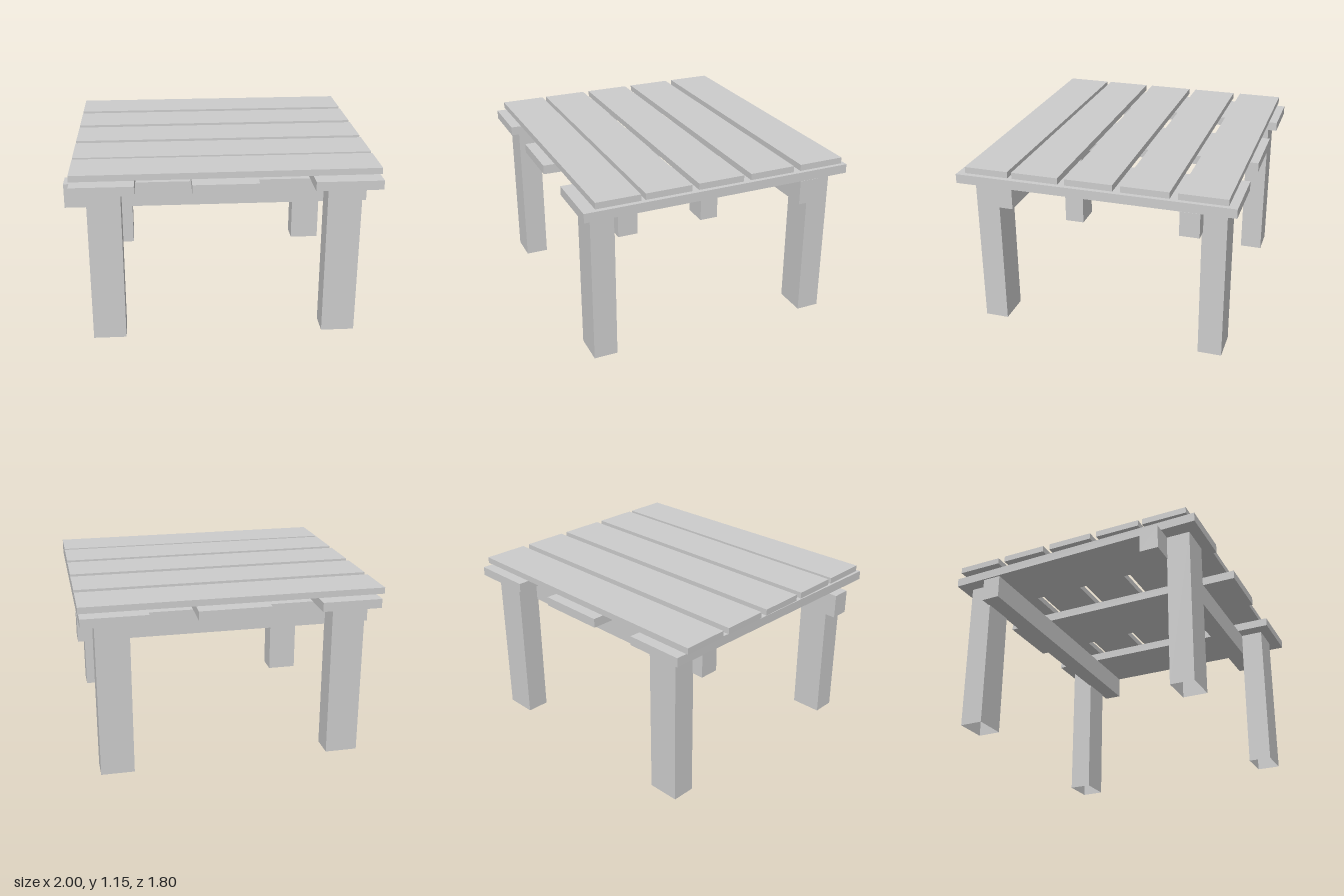
import * as THREE from 'three';

const material = new THREE.MeshStandardMaterial({ color: 0xcccccc, flatShading: true });
const openMaterial = new THREE.MeshStandardMaterial({ color: 0xcccccc, flatShading: true, side: THREE.DoubleSide });

// Plank with a four-cornered plan; corners are [x, z] at back left edge (-x,-z), (+x,-z), (-x,+z), (+x,+z)
function plank(name, y0, y1, corners) {
  const geometry = new THREE.BoxGeometry(2, y1 - y0, 2);
  geometry.translate(0, (y0 + y1) / 2, 0);
  const p = geometry.attributes.position;
  for (let i = 0; i < p.count; i++) {
    const [x, z] = corners[(p.getX(i) > 0 ? 1 : 0) + (p.getZ(i) > 0 ? 2 : 0)];
    p.setX(i, x);
    p.setZ(i, z);
  }
  geometry.computeVertexNormals();
  const mesh = new THREE.Mesh(geometry, material);
  mesh.name = name;
  return mesh;
}

const block = (name, x0, x1, y0, y1, z0, z1) =>
  plank(name, y0, y1, [[x0, z0], [x1, z0], [x0, z1], [x1, z1]]);

export function createModel() {
  const table = new THREE.Group();
  table.name = 'slattedTable';

  // Five top slats; the front one tapers slightly toward +x
  const slats = new THREE.Group();
  slats.name = 'topSlats';
  [[-0.85, -0.545], [-0.495, -0.19], [-0.14, 0.167], [0.213, 0.515], [0.543, 0.845]].forEach(([z0, z1], i) => {
    const taper = i === 4 ? 0.015 : 0;
    slats.add(plank('topSlat', 1.107, 1.148, [[-0.95, z0], [0.997, z0], [-0.95, z1], [0.997, z1 - taper]]));
  });
  table.add(slats);

  // Three cross boards under the slats, slightly out of square: x range at back, x range at front
  const crossBoards = new THREE.Group();
  crossBoards.name = 'crossBoards';
  for (const [b0, b1, f0, f1] of [
    [-0.915, -0.525, -0.95, -0.55],
    [-0.195, 0.27, -0.195, 0.22],
    [0.57, 0.99, 0.57, 0.995],
  ]) {
    crossBoards.add(plank('crossBoard', 1.03, 1.09, [[b0, -0.9], [b1, -0.9], [f0, 0.9], [f1, 0.9]]));
  }
  table.add(crossBoards);

  // Beams along the inner sides of the legs
  table.add(block('frontBeam', -1, 0.945, 0.87, 1.03, 0.547, 0.672));
  table.add(block('backBeam', -0.91, 0.993, 0.87, 1.03, -0.682, -0.556));

  // Four legs, open at the bottom
  const legs = new THREE.Group();
  legs.name = 'legs';
  for (const [name, x0, x1, z0, z1] of [
    ['frontRightLeg', -0.85, -0.637, 0.67, 0.826],
    ['frontLeftLeg', 0.662, 0.88, 0.67, 0.826],
    ['backRightLeg', -0.83, -0.615, -0.829, -0.674],
    ['backLeftLeg', 0.685, 0.902, -0.829, -0.674],
  ]) {
    const leg = block(name, x0, x1, 0, 1.03, z0, z1);
    // Drop the bottom face (fourth of six)
    leg.geometry.setIndex(Array.from(leg.geometry.index.array).filter((_, i) => i < 18 || i >= 24));
    leg.geometry.clearGroups();
    leg.material = openMaterial;
    legs.add(leg);
  }
  table.add(legs);

  return table;
}
